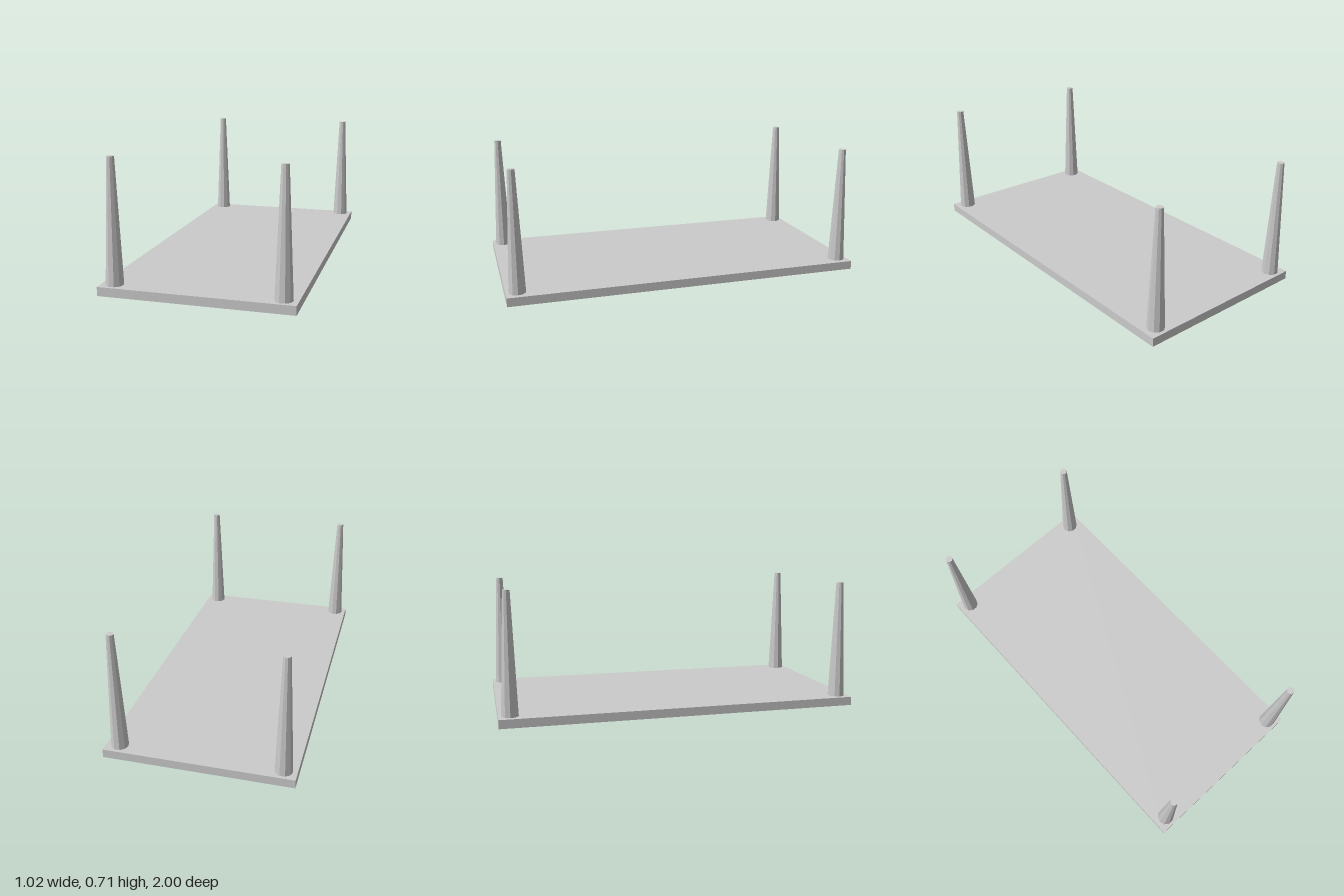
import * as THREE from 'three';

export function createModel() {
  const group = new THREE.Group();
  const material = new THREE.MeshStandardMaterial({ color: 0xcccccc, flatShading: true });
  const slabHeight = 0.048, totalHeight = 0.708;

  // Flat table top, lying upside down on the ground
  const top = new THREE.Mesh(new THREE.BoxGeometry(1.024, slabHeight, 2), material);
  top.name = 'tableTop';
  top.position.y = slabHeight / 2;
  group.add(top);

  // Four tapered ten-sided legs, one near each corner
  const legHeight = totalHeight - slabHeight;
  const legGeometry = new THREE.CylinderGeometry(0.02, 0.047, legHeight, 10, 1, false, Math.PI / 2);
  for (const [side, x] of [['Right', -0.441], ['Left', 0.438]]) {
    for (const [end, z] of [['front', 0.938], ['back', -0.938]]) {
      const leg = new THREE.Mesh(legGeometry, material);
      leg.name = `${end}${side}Leg`;
      leg.position.set(x, slabHeight + legHeight / 2, z);
      group.add(leg);
    }
  }
  return group;
}
